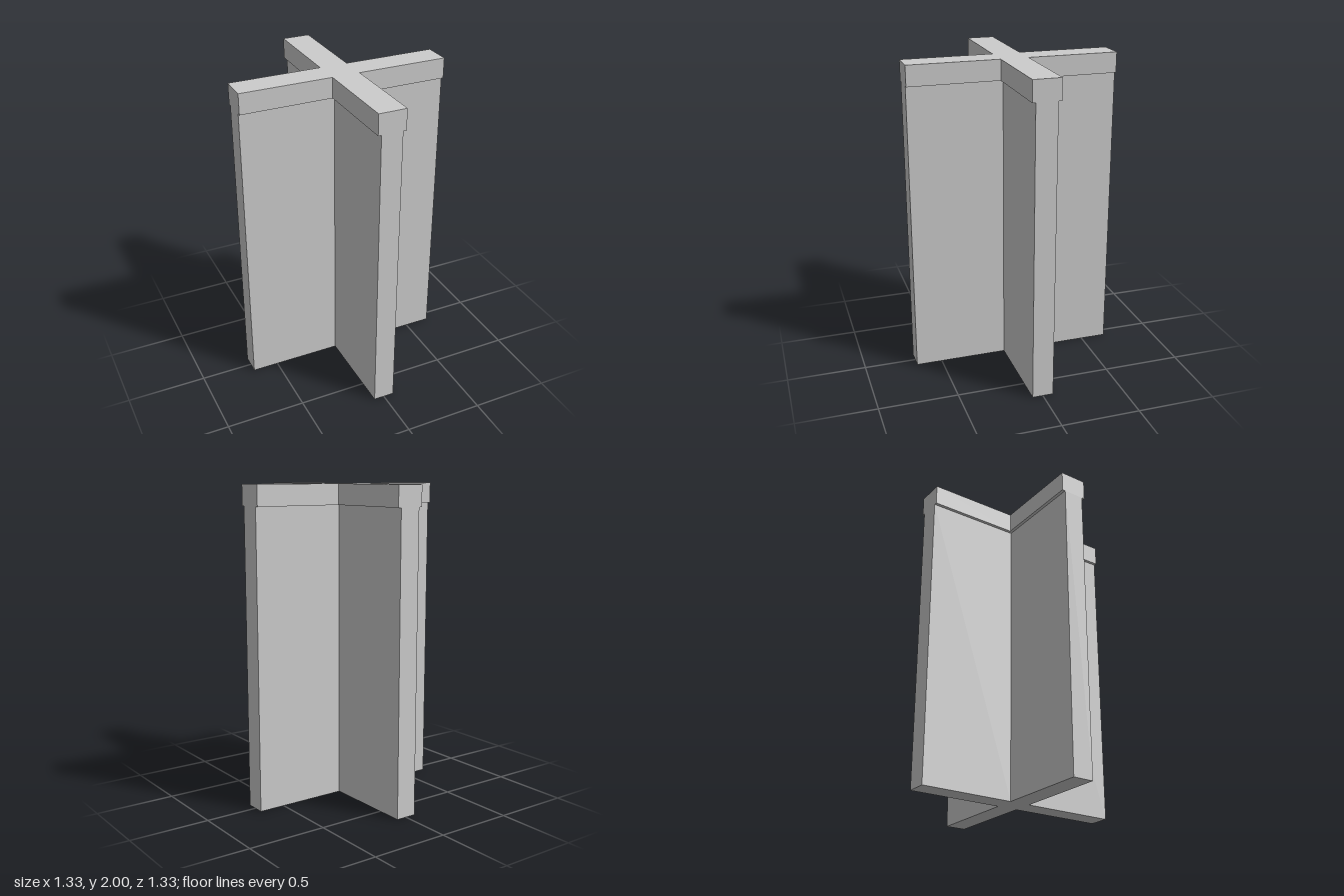
import * as THREE from 'three';

const REACH = 0.667; // half length of each arm

// Upright prism with a plus-shaped plan
function crossPrism(name, halfWidth, y0, y1, material) {
  const corners = [];
  for (let i = 0; i < 4; i++) {
    const turn = (i * Math.PI) / 2;
    for (const [x, y] of [[REACH, -halfWidth], [REACH, halfWidth], [halfWidth, halfWidth]]) {
      corners.push(new THREE.Vector2(x, y).rotateAround(new THREE.Vector2(), turn));
    }
  }
  const geometry = new THREE.ExtrudeGeometry(new THREE.Shape(corners), {
    depth: y1 - y0,
    bevelEnabled: false,
  });
  geometry.rotateX(-Math.PI / 2).translate(0, y0, 0);
  const mesh = new THREE.Mesh(geometry, material);
  mesh.name = name;
  return mesh;
}

export function createModel() {
  const group = new THREE.Group();
  group.name = 'crossWall';
  const material = new THREE.MeshStandardMaterial({ color: 0xcccccc, flatShading: true });

  // Crossing walls, and the wider coping that ends flush with them
  group.add(crossPrism('walls', 0.067, 0, 1.87, material));
  group.add(crossPrism('coping', 0.0875, 1.87, 2, material));
  return group;
}
